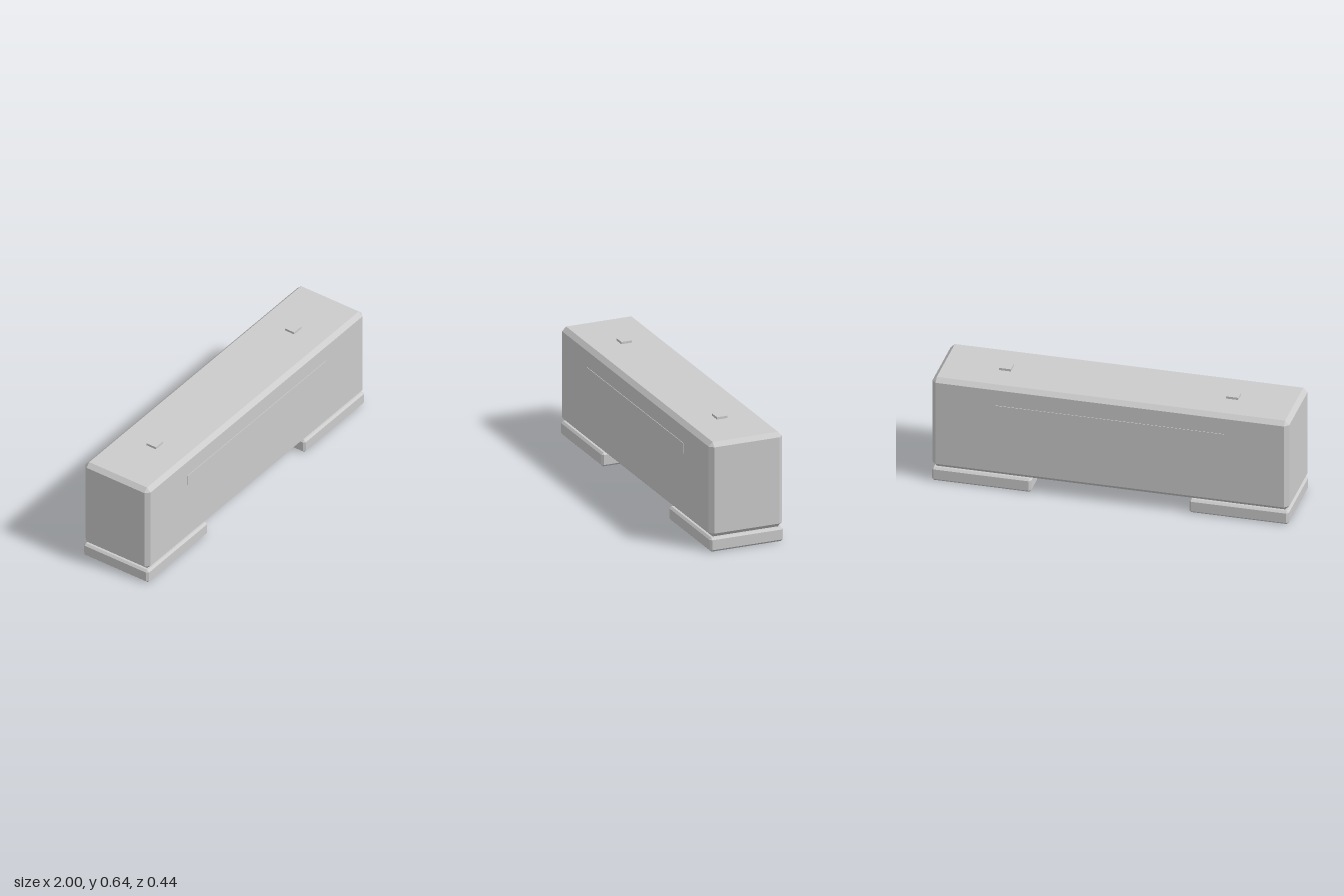
import * as THREE from 'three';
import { ConvexGeometry } from 'three/addons/geometries/ConvexGeometry.js';

const material = new THREE.MeshStandardMaterial({ color: 0xcccccc, flatShading: true });

// Box with every edge cut at 45 degrees: three corner points per octant
function chamferedBox(width, height, depth, cut) {
  const points = [];
  for (const sx of [-1, 1]) for (const sy of [-1, 1]) for (const sz of [-1, 1]) {
    for (let axis = 0; axis < 3; axis++) {
      const inset = [cut, cut, cut];
      inset[axis] = 0;
      points.push(new THREE.Vector3(
        sx * (width / 2 - inset[0]),
        sy * (height / 2 - inset[1]),
        sz * (depth / 2 - inset[2])
      ));
    }
  }
  return new ConvexGeometry(points);
}

export function createModel() {
  const group = new THREE.Group();

  function add(name, geometry, x, y, z) {
    const mesh = new THREE.Mesh(geometry, material);
    mesh.name = name;
    mesh.position.set(x, y, z);
    group.add(mesh);
  }

  // Long main body
  add('body', chamferedBox(2, 0.547, 0.435, 0.024), 0, 0.3555, 0);

  // Feet under both ends, and small studs on top
  const footGeometry = chamferedBox(0.557, 0.081, 0.435, 0.0115);
  const studGeometry = new THREE.BoxGeometry(0.067, 0.025, 0.063);
  for (const [side, s] of [['left', 1], ['right', -1]]) {
    add(side + 'Foot', footGeometry, s * 0.7215, 0.0405, 0);
    add(side + 'Stud', studGeometry, s * 0.637, 0.6295, 0);
  }

  // Thin raised strips along the front and back
  const stripGeometry = new THREE.BoxGeometry(1.28, 0.062, 0.01);
  add('frontStrip', stripGeometry, 0, 0.481, 0.2155);
  add('backStrip', stripGeometry, 0, 0.481, -0.2155);

  return group;
}
